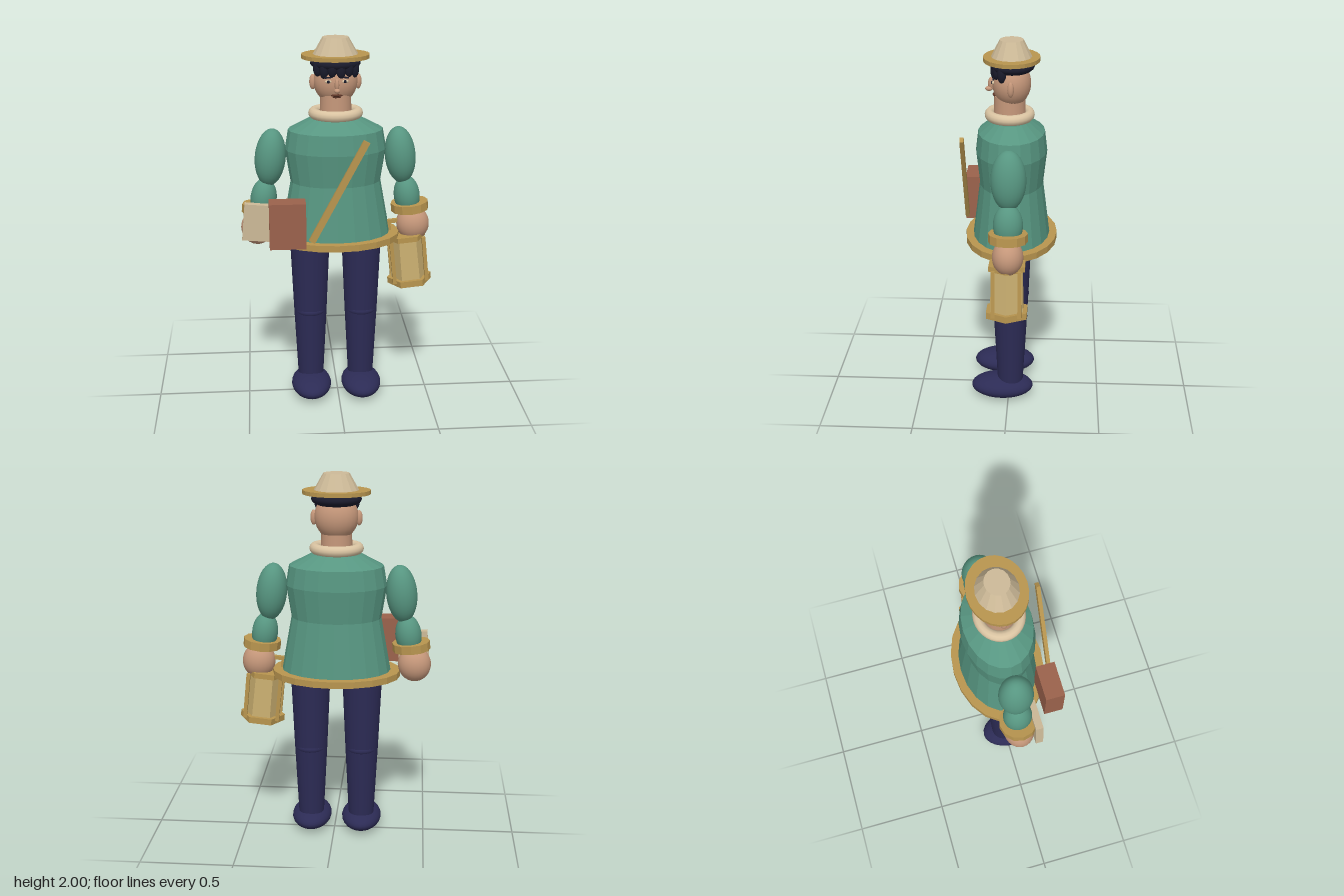
import * as THREE from 'three';

export function createModel() {
  const root = new THREE.Group();
  root.name = 'lanternBearer';
  const mat = (name, color, flatShading = false) => {
    const m = new THREE.MeshStandardMaterial({ color, flatShading });
    m.name = name;
    return m;
  };
  const green = mat('green cloth', 0x579681);
  const gold = mat('gold trim', 0xb8954f);
  const cream = mat('cream', 0xcdba98);
  const fur = mat('pale collar', 0xdac4a2);
  const skin = mat('skin', 0xc5977a);
  const navy = mat('navy cloth', 0x2c2b55);
  const hairMat = mat('dark hair', 0x1a1b2c);
  const brown = mat('brown leather', 0x9b624c);
  const glass = mat('lantern glass', 0xcbb071);
  const lip = mat('lips', 0x5c3426);

  const add = (name, geo, material, x, y, z, rz = 0, parent = root) => {
    const m = new THREE.Mesh(geo, material);
    m.name = name;
    m.position.set(x, y, z);
    m.rotation.z = rz;
    parent.add(m);
    return m;
  };
  const faceted = (geo) => {
    const g = geo.index ? geo.toNonIndexed() : geo;
    g.computeVertexNormals();
    return g;
  };
  const ball = (rx, ry, rz, seg = 24) => new THREE.SphereGeometry(1, seg, Math.round(seg * 0.7)).scale(rx, ry, rz);
  const box = (w, h, d) => new THREE.BoxGeometry(w, h, d);
  // Faceted turned shape, flattened front to back
  const turned = (points, sides, depth) => faceted(
    new THREE.LatheGeometry(points.map(([r, y]) => new THREE.Vector2(r, y)), sides).scale(1, 1, depth));

  const CX = -0.01, CZ = -0.01;

  // Tunic and hem
  add('tunic', turned([[0, 0.935], [0.295, 0.935], [0.24, 1.24], [0.268, 1.415], [0.25, 1.52],
    [0.135, 1.58], [0, 1.58]], 20, 0.7), green, CX, 0, CZ);
  add('hem', turned([[0.27, 0.915], [0.345, 0.915], [0.345, 0.95], [0.27, 0.95], [0.27, 0.915]], 20, 0.71),
    gold, CX, 0, CZ);

  // Collar, neck and head
  add('collar', new THREE.TorusGeometry(0.115, 0.028, 12, 32).rotateX(Math.PI / 2).scale(1, 1, 0.91),
    fur, CX, 1.608, 0);
  add('neck', new THREE.CylinderGeometry(0.08, 0.085, 0.16, 20), skin, CX, 1.63, 0);
  const head = new THREE.Group();
  head.name = 'head';
  head.position.set(CX, 1.775, CZ);
  root.add(head);
  add('skull', ball(0.115, 0.122, 0.1), skin, 0, 0, 0, 0, head);
  add('noseBridge', ball(0.012, 0.035, 0.018, 12), skin, 0, -0.005, 0.104, 0, head);
  add('noseTip', ball(0.016, 0.013, 0.02, 12), skin, 0, -0.032, 0.117, 0, head);
  add('upperLip', ball(0.03, 0.007, 0.01, 12), lip, 0, -0.061, 0.088, 0, head);
  add('lowerLip', ball(0.024, 0.007, 0.01, 12), lip, 0, -0.07, 0.083, 0, head);
  for (const s of [-1, 1]) {
    add('ear', ball(0.018, 0.04, 0.017, 14), skin, s * 0.118, -0.005, 0, 0, head);
    add('eye', ball(0.019, 0.009, 0.008, 12), fur, s * 0.043, 0.012, 0.092, 0, head);
    add('pupil', ball(0.008, 0.008, 0.005, 10), hairMat, s * 0.043, 0.012, 0.098, 0, head);
    add('eyebrow', box(0.04, 0.007, 0.008), hairMat, s * 0.043, 0.032, 0.09, -s * 0.1, head);
  }

  // Hair: cap with a scalloped fringe
  add('hairCap', ball(0.131, 0.045, 0.115), hairMat, CX, 1.868, -0.014);
  for (let i = 0; i < 6; i++) {
    const a = (i - 2.5) * 0.4;
    add('fringeLock', ball(0.026, 0.046, 0.024, 14), hairMat,
      CX + Math.sin(a) * 0.11, 1.85 - (i % 2) * 0.008, CZ + Math.cos(a) * 0.085);
  }

  // Hat
  add('hatBrim', turned([[0, 1.893], [0.177, 1.893], [0.177, 1.914], [0, 1.914]], 24, 0.825), gold, CX, 0, CZ);
  add('hatCrown', turned([[0.119, 1.91], [0.068, 2], [0, 2]], 16, 0.9), cream, CX, 0, CZ);

  // Arms, legs and feet on both sides
  for (const s of [-1, 1]) {
    const side = s > 0 ? 'left' : 'right';
    add(side + 'UpperArm', ball(0.082, 0.155, 0.09), green, CX + s * 0.345, 1.37, CZ, s * 0.1);
    add(side + 'Forearm', ball(0.07, 0.11, 0.076), green, CX + s * 0.385, 1.145, CZ, s * 0.12);
    add(side + 'Cuff', faceted(new THREE.CylinderGeometry(0.101, 0.101, 0.045, 12)), gold,
      CX + s * 0.401, 1.086, CZ, s * 0.1);
    add(side + 'Hand', ball(0.089, 0.096, 0.08), skin, CX + s * 0.42, 0.985, CZ, s * 0.1);

    const lx = CX + s * 0.14;
    add(side + 'Thigh', new THREE.CylinderGeometry(0.109, 0.09, 0.44, 20), navy, lx, 0.72, CZ);
    add(side + 'Knee', ball(0.089, 0.045, 0.094, 20), navy, lx, 0.5, CZ);
    add(side + 'Shin', new THREE.CylinderGeometry(0.09, 0.069, 0.42, 20), navy, lx, 0.29, CZ);
    add(side + 'Shoe', ball(0.11, 0.063, 0.171), navy, lx, 0.063, 0.035);
  }

  // Satchel, strap and book
  add('satchel', box(0.19, 0.245, 0.102), brown, -0.275, 1.067, 0.201);
  add('strap', box(0.035, 0.6, 0.02), gold, -0.01, 1.245, 0.24, -0.49);
  add('book', box(0.165, 0.2, 0.04), cream, -0.423, 1.04, 0.08, -0.09);

  // Hexagonal lantern, hung at a slight tilt
  const lantern = new THREE.Group();
  lantern.name = 'lantern';
  lantern.position.set(0.385, 0.793, CZ + 0.005);
  lantern.rotation.z = 0.1;
  root.add(lantern);
  const hex = (top, bottom, h) => faceted(new THREE.CylinderGeometry(top, bottom, h, 6).rotateY(Math.PI / 6));
  add('lanternGlass', hex(0.092, 0.098, 0.25), glass, 0, 0, 0, 0, lantern);
  add('lanternTop', hex(0.107, 0.107, 0.028), gold, 0, 0.126, 0, 0, lantern);
  add('lanternBase', hex(0.121, 0.121, 0.034), gold, 0, -0.126, 0, 0, lantern);
  for (const sx of [-1, 1]) for (const sz of [-1, 1]) {
    add('lanternBar', box(0.02, 0.25, 0.02), gold, sx * 0.088, 0, sz * 0.068, 0, lantern);
  }
  add('lanternHandleTop', box(0.19, 0.02, 0.022), gold, 0, 0.215, 0, 0, lantern);
  for (const s of [-1, 1]) {
    add('lanternHandleSide', box(0.016, 0.085, 0.022), gold, s * 0.085, 0.172, 0, 0, lantern);
  }

  return root;
}
